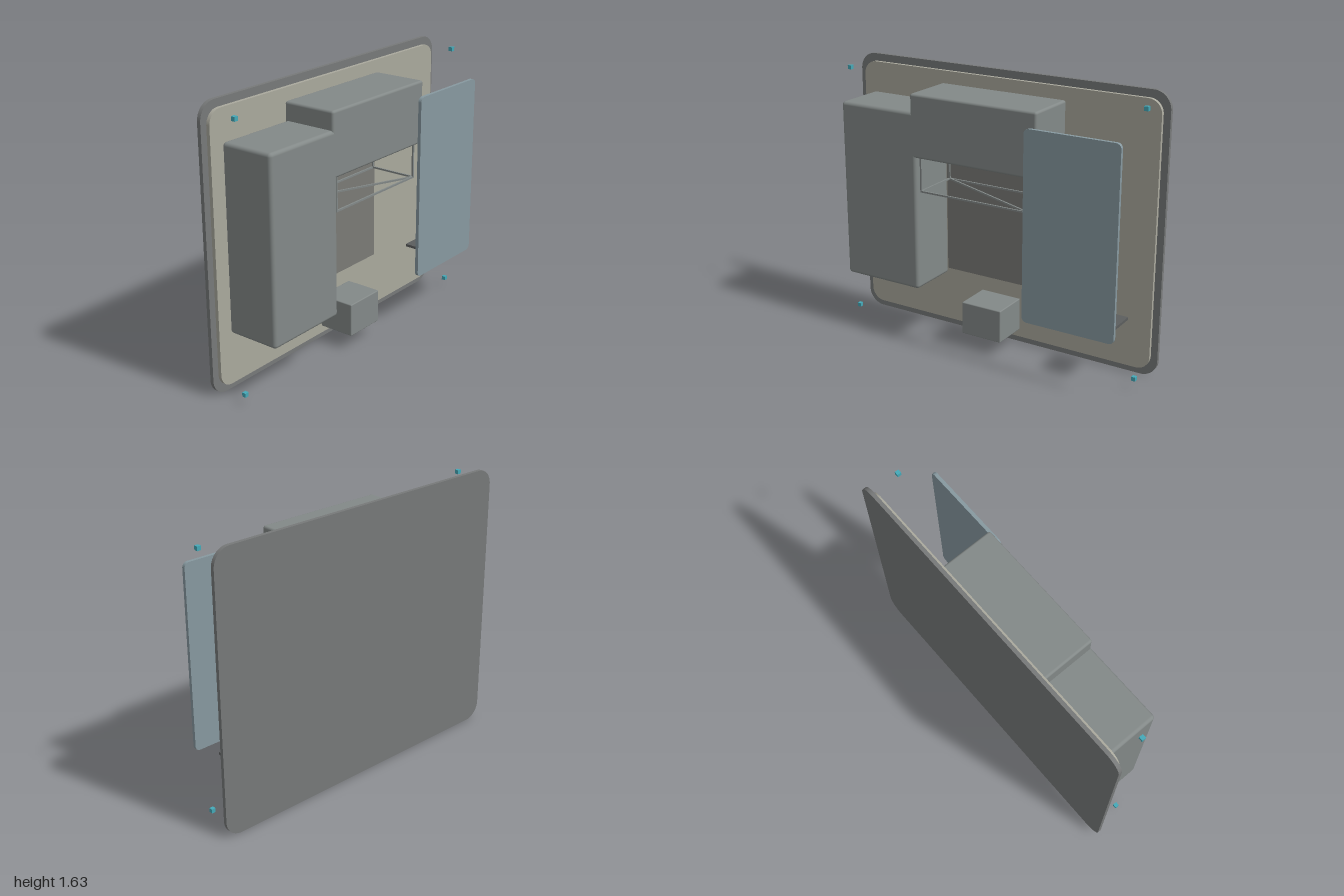
import * as THREE from 'three';
import { RoundedBoxGeometry } from 'three/addons/geometries/RoundedBoxGeometry.js';

const mat = (color) => new THREE.MeshStandardMaterial({ color });

// Upright slab with rounded corners, spanning x0..x1, y0..y1, z0..z1
function slabGeometry(x0, x1, y0, y1, z0, z1, r) {
  const s = new THREE.Shape();
  s.moveTo(x0 + r, y0);
  s.lineTo(x1 - r, y0);
  s.absarc(x1 - r, y0 + r, r, -Math.PI / 2, 0);
  s.lineTo(x1, y1 - r);
  s.absarc(x1 - r, y1 - r, r, 0, Math.PI / 2);
  s.lineTo(x0 + r, y1);
  s.absarc(x0 + r, y1 - r, r, Math.PI / 2, Math.PI);
  s.lineTo(x0, y0 + r);
  s.absarc(x0 + r, y0 + r, r, Math.PI, Math.PI * 1.5);
  const g = new THREE.ExtrudeGeometry(s, { depth: z1 - z0, bevelEnabled: false, curveSegments: 10 });
  return g.translate(0, 0, z0);
}

// Box between two corners, with optional rounded edges
function boxGeometry(x0, x1, y0, y1, z0, z1, r = 0) {
  const size = [x1 - x0, y1 - y0, z1 - z0];
  const g = r ? new RoundedBoxGeometry(...size, 3, r) : new THREE.BoxGeometry(...size);
  return g.translate((x0 + x1) / 2, (y0 + y1) / 2, (z0 + z1) / 2);
}

export function createModel() {
  const model = new THREE.Group();
  const plateMat = mat(0x777979);
  const liningMat = mat(0xaaa99d);
  const caseMat = mat(0x838988);
  const darkMat = mat(0x7a7a76);
  const doorMat = mat(0x8799a0);
  const padMat = mat(0x5c5e5e);
  const pinMat = mat(0x45a9b8);

  const add = (name, geometry, material, parent = model) => {
    const mesh = new THREE.Mesh(geometry, material);
    mesh.name = name;
    parent.add(mesh);
    return mesh;
  };

  // Back plate and its raised lining
  add('backPlate', slabGeometry(-1, 1, 0, 1.63, -0.2, -0.178, 0.1), plateMat);
  add('lining', slabGeometry(-0.96, 0.96, 0.042, 1.586, -0.178, -0.157, 0.08), liningMat);

  // Dark panel between the cabinets
  add('recessPanel', boxGeometry(-0.37, 0.37, 0.38, 1.105, -0.157, -0.145), darkMat);

  // Cabinets
  add('sideCabinet', boxGeometry(-0.885, -0.37, 0.35, 1.41, -0.152, 0.17, 0.02), caseMat);
  add('topCabinet', boxGeometry(-0.403, 0.403, 1.148, 1.515, -0.157, 0.17, 0.014), caseMat);
  add('smallBox', boxGeometry(-0.13, 0.13, 0.092, 0.29, -0.152, 0.072, 0.006), caseMat);

  // Flat door standing in front
  add('door', slabGeometry(0.345, 0.905, 0.332, 1.43, 0.18, 0.2, 0.03), doorMat);

  // Flat pads on the undersides
  for (const s of [-1, 1]) {
    const pad = (cx, y) => boxGeometry(s * cx - 0.08, s * cx + 0.08, y, y + 0.016, -0.123, 0.063);
    add('sidePad', pad(0.757, 0.337), padMat);
    add('topPad', pad(0.27, 1.132), padMat);
  }
  add('smallPad', boxGeometry(-0.11, -0.03, 0.082, 0.095, -0.13, 0), padMat);

  // Thin wire basket under the top cabinet
  const basket = new THREE.Group();
  basket.name = 'basket';
  model.add(basket);
  const bar = (name, a, b) => {
    const from = new THREE.Vector3(...a);
    const to = new THREE.Vector3(...b);
    const mesh = add(name, new THREE.BoxGeometry(0.01, 0.01, from.distanceTo(to) + 0.01), caseMat, basket);
    mesh.position.copy(from).add(to).multiplyScalar(0.5);
    mesh.lookAt(to);
  };
  const [bx, by, top, zf, zb] = [0.35, 0.95, 1.15, 0.146, -0.14];
  for (const s of [-1, 1]) {
    bar('sideBar', [s * bx, by, zb], [s * bx, by, zf]);
    for (const z of [zf, zb]) bar('uprightBar', [s * bx, by, z], [s * bx, top, z]);
  }
  for (const z of [zf, zb]) bar('crossBar', [-bx, by, z], [bx, by, z]);
  bar('diagonalBar', [-bx, by, zb], [bx, by, zf]);

  // Small corner pins
  for (const x of [-0.944, 0.944]) {
    for (const y of [0.06, 1.573]) {
      add('cornerPin', boxGeometry(x - 0.012, x + 0.012, y - 0.012, y + 0.012, -0.012, 0.012), pinMat);
    }
  }
  return model;
}
